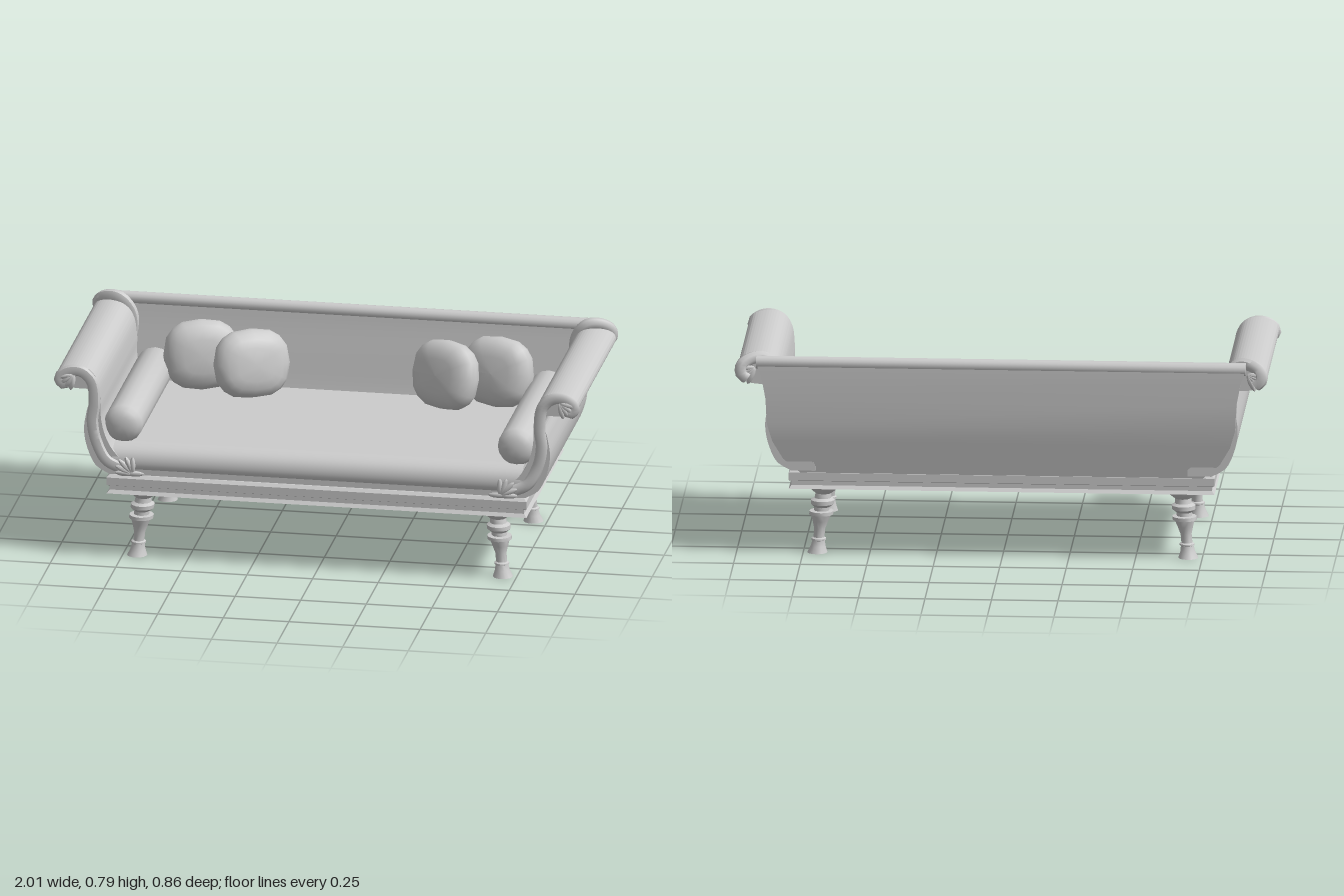
import * as THREE from 'three';
import { toCreasedNormals } from 'three/addons/utils/BufferGeometryUtils.js';

const material = new THREE.MeshStandardMaterial({ color: 0xcccccc, side: THREE.DoubleSide });
const v2 = (pts) => pts.map(([x, y]) => new THREE.Vector2(x, y));

// Move every vertex of a geometry by a rule
function reshape(geo, rule) {
  const p = geo.attributes.position;
  const v = new THREE.Vector3();
  for (let i = 0; i < p.count; i++) {
    v.fromBufferAttribute(p, i);
    rule(v);
    p.setXYZ(i, v.x, v.y, v.z);
  }
  geo.computeVertexNormals();
  return geo;
}

// Stack of rectangles, each row [y, half width, back z, front z]
function loft(rows) {
  const n = rows.length - 1;
  const geo = reshape(new THREE.BoxGeometry(2, n, 2, 1, n, 1), (v) => {
    const [y, w, z0, z1] = rows[Math.round(v.y + n / 2)];
    v.set(v.x * w, y, v.z < 0 ? z0 : z1);
  });
  return toCreasedNormals(geo, 0.5);
}

// Copy on the other side of x = 0, with the winding turned round
function mirrored(geo) {
  const g = geo.index ? geo.toNonIndexed() : geo.clone();
  g.scale(-1, 1, 1);
  const order = [];
  for (let i = 0; i < g.attributes.position.count; i += 3) order.push(i, i + 2, i + 1);
  g.setIndex(order);
  g.computeVertexNormals();
  return toCreasedNormals(g.toNonIndexed(), 0.7);
}

// Soft square cushion, lens shaped in depth
function pillow(w, h, d) {
  const geo = new THREE.SphereGeometry(1, 16, 10);
  geo.rotateX(Math.PI / 2);
  return reshape(geo, (v) => {
    const square = (t) => Math.sign(t) * Math.pow(Math.abs(t), 0.62);
    v.set(square(v.x) * w / 2, square(v.y) * h / 2, v.z * d / 2);
    v.x *= 1 - 0.12 * Math.pow(v.y / h * 2, 2);
    v.y *= 1 - 0.1 * Math.pow(v.x / w * 2, 2);
  });
}

// Tube along a smooth path, flattened in depth, with rounded ends
function scrollTube(points, radius, flat) {
  const path = new THREE.CatmullRomCurve3(points.map((p) => new THREE.Vector3(p[0], p[1], (p[2] || 0) / flat)));
  const geo = new THREE.TubeGeometry(path, 48, radius, 8);
  return geo.scale(1, 1, flat);
}

export function createModel() {
  const model = new THREE.Group();
  model.name = 'sofa';

  const add = (name, geo) => {
    const mesh = new THREE.Mesh(geo, material);
    mesh.name = name;
    model.add(mesh);
  };
  const addPair = (name, geo) => {
    add(name + 'Left', geo);
    add(name + 'Right', mirrored(geo));
  };

  // Moulded base rail
  add('baseRail', loft([
    [0.262, 0.80, -0.382, 0.418], [0.275, 0.79, -0.372, 0.408], [0.291, 0.79, -0.372, 0.408],
    [0.295, 0.80, -0.382, 0.418], [0.325, 0.80, -0.382, 0.418], [0.336, 0.79, -0.372, 0.408],
  ]));

  // Seat with a rolled front edge
  const seatShape = new THREE.Shape();
  seatShape.moveTo(0.36, 0.33);
  seatShape.lineTo(-0.4, 0.33);
  seatShape.lineTo(-0.4, 0.358);
  seatShape.bezierCurveTo(-0.415, 0.37, -0.42, 0.45, -0.33, 0.452);
  seatShape.lineTo(0.36, 0.455);
  const seat = new THREE.ExtrudeGeometry(seatShape, { depth: 1.56, bevelEnabled: false, curveSegments: 10 });
  seat.translate(0, 0, -0.78).rotateY(Math.PI / 2);
  // the turn maps shape x to -z, so the rolled edge lands at the front
  add('seat', toCreasedNormals(seat, 0.6));

  // Raked back panel, widening upwards with the arms
  add('backPanel', loft([
    [0.32, 0.75, -0.38, -0.315], [0.38, 0.82, -0.392, -0.33], [0.45, 0.86, -0.406, -0.347],
    [0.52, 0.88, -0.42, -0.357], [0.62, 0.885, -0.424, -0.37], [0.70, 0.90, -0.428, -0.383], [0.757, 0.92, -0.428, -0.388],
  ]));
  const rail = new THREE.CylinderGeometry(0.025, 0.025, 1.84, 12);
  rail.rotateZ(Math.PI / 2).translate(0, 0.756, -0.406);
  add('backTopRail', toCreasedNormals(rail, 0.7));

  // Scrolled arms, one S-shaped section run front to back
  const armShape = new THREE.Shape();
  armShape.moveTo(0.70, 0.335);
  armShape.lineTo(0.79, 0.335);
  armShape.splineThru(v2([[0.845, 0.37], [0.877, 0.44], [0.888, 0.51], [0.878, 0.58], [0.865, 0.63], [0.875, 0.668]]));
  armShape.splineThru(v2([[0.93, 0.67], [0.982, 0.685], [0.996, 0.715], [0.972, 0.745], [0.915, 0.757], [0.865, 0.742],
    [0.835, 0.695], [0.825, 0.62], [0.823, 0.55], [0.805, 0.48], [0.77, 0.42], [0.70, 0.36]]));
  const arm = new THREE.ExtrudeGeometry(armShape, { depth: 0.795, bevelEnabled: false, curveSegments: 30 });
  arm.translate(0, 0, -0.39);
  addPair('arm', toCreasedNormals(arm, 0.6));

  // Carved scroll on the front of each arm
  addPair('frontScroll', scrollTube([
    [0.945, 0.695, 0.405], [0.965, 0.682, 0.405], [0.982, 0.705, 0.405], [0.95, 0.734, 0.405], [0.90, 0.736, 0.405],
    [0.86, 0.70, 0.405], [0.848, 0.62, 0.405], [0.856, 0.54, 0.405], [0.84, 0.46, 0.405], [0.80, 0.39, 0.41], [0.72, 0.355, 0.41],
  ], 0.022, 0.55));

  // Carved scroll at the back corner, rising above the roll
  addPair('backScroll', scrollTube([
    [0.955, 0.695, -0.405], [0.975, 0.71, -0.407], [0.975, 0.742, -0.402], [0.935, 0.767, -0.385], [0.89, 0.765, -0.372],
    [0.85, 0.715, -0.376], [0.843, 0.62, -0.382], [0.856, 0.54, -0.386], [0.84, 0.46, -0.38], [0.80, 0.39, -0.37], [0.74, 0.355, -0.36],
  ], 0.024, 0.8));

  // Leaf lobes at the scroll tips, and a palm fan at the foot of each arm
  const lobe = (x, y, z, len, angle) => {
    const g = new THREE.SphereGeometry(1, 8, 6);
    g.scale(len / 2, 0.011, 0.009).translate(len / 2, 0, 0);
    return g.rotateZ(angle).translate(x, y, z);
  };
  for (let i = 0; i < 4; i++) {
    addPair('scrollLeaf' + (i + 1), lobe(0.925, 0.722, 0.411, 0.062, -0.2 - i * 0.38));
    addPair('backScrollLeaf' + (i + 1), lobe(0.925, 0.735, -0.405, 0.07, -0.1 - i * 0.35));
  }
  for (let i = 0; i < 5; i++) {
    addPair('palmLeaf' + (i + 1), lobe(0.70, 0.346, 0.423, 0.078 - Math.abs(i - 2) * 0.005, 0.05 + i * 0.38));
  }
  const stem = new THREE.SphereGeometry(1, 8, 6);
  stem.scale(0.04, 0.011, 0.008).translate(0.695, 0.348, 0.422);
  addPair('palmStem', stem);

  // Bolsters with domed ends, lying along the arms
  const bolster = new THREE.LatheGeometry(v2([
    [0, -0.375], [0.035, -0.37], [0.06, -0.36], [0.073, -0.338], [0.073, 0.338], [0.06, 0.36], [0.035, 0.37], [0, 0.375],
  ]), 16);
  bolster.rotateX(Math.PI / 2).translate(0.75, 0.515, 0);
  addPair('bolster', toCreasedNormals(bolster, 0.8));

  // Scatter pillows leaning on the back
  const outer = pillow(0.29, 0.27, 0.13);
  outer.rotateX(-0.15).rotateY(-0.28).translate(0.565, 0.588, -0.29);
  addPair('outerPillow', outer);
  const inner = pillow(0.3, 0.265, 0.13);
  inner.rotateX(-0.2).rotateZ(0.06).rotateY(-0.52).translate(0.37, 0.572, -0.265);
  addPair('innerPillow', inner);

  // Turned legs, splayed slightly outwards
  const legProfile = v2([
    [0, 0], [0.038, 0], [0.028, 0.025], [0.024, 0.046], [0.028, 0.048], [0.028, 0.054], [0.021, 0.058], [0.021, 0.09],
    [0.03, 0.12], [0.038, 0.143], [0.046, 0.145], [0.046, 0.158], [0.029, 0.16], [0.029, 0.173], [0.044, 0.185],
    [0.045, 0.2], [0.032, 0.208], [0.03, 0.226], [0.05, 0.242], [0.061, 0.262], [0, 0.264],
  ]);
  for (const [name, z, splay] of [['frontLeg', 0.323, 0.018], ['backLeg', -0.285, -0.02]]) {
    const leg = reshape(new THREE.LatheGeometry(legProfile, 14), (v) => {
      const t = 1 - v.y / 0.262;
      v.x += 0.672 + 0.025 * t;
      v.z += z + splay * t;
    });
    addPair(name, toCreasedNormals(leg, 0.6));
  }

  return model;
}
